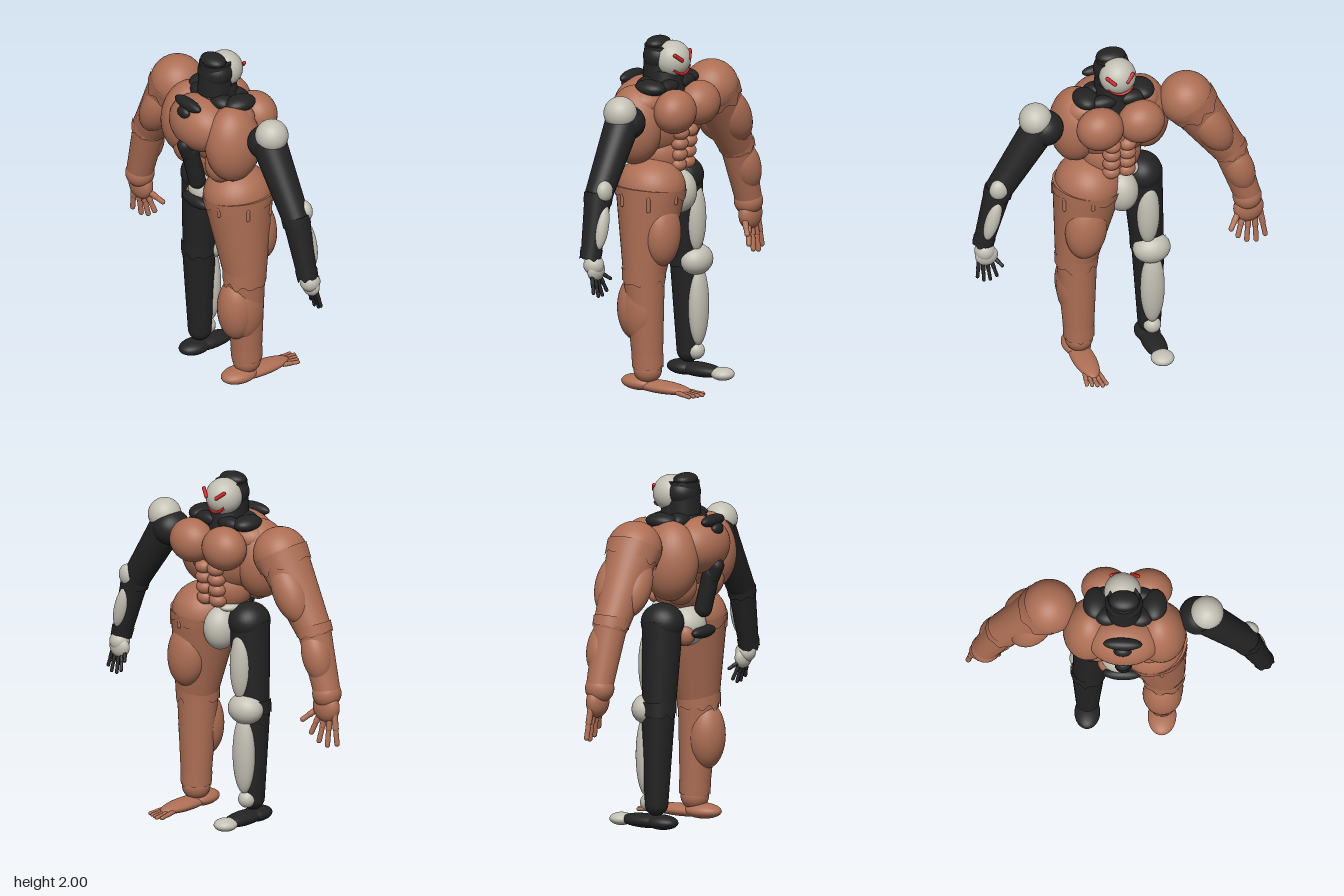
import * as THREE from 'three';

const mat = (name, color) => {
  const m = new THREE.MeshStandardMaterial({ color });
  m.name = name;
  return m;
};

export function createModel() {
  const skin = mat('clay skin', 0xae6f55), dark = mat('dark armour', 0x232323);
  const pale = mat('pale shell', 0xc3c0b4), red = mat('red marking', 0xc42020);
  const V = (p) => new THREE.Vector3(...p);
  const group = new THREE.Group();
  group.name = 'figure';

  const add = (name, geo, m) => {
    const mesh = new THREE.Mesh(geo, m);
    mesh.name = name;
    group.add(mesh);
    return mesh;
  };
  // ellipsoid: centre, radii, rotation
  const ell = (name, m, p, r, rot = [0, 0, 0]) => {
    const e = add(name, new THREE.SphereGeometry(1, 32, 22), m);
    e.position.set(...p);
    e.scale.set(...r);
    e.rotation.set(...rot);
    return e;
  };
  const ball = (name, m, p, r) => ell(name, m, p, [r, r, r]);
  const place = (mesh, a, b) => {
    mesh.position.copy(V(a)).add(V(b)).multiplyScalar(0.5);
    mesh.quaternion.setFromUnitVectors(new THREE.Vector3(0, 1, 0), V(a).sub(V(b)).normalize());
  };
  // tapered limb from upper point a to lower point b
  const limb = (name, m, a, b, ra, rb) => {
    const len = V(a).distanceTo(V(b));
    const mesh = add(name, new THREE.CylinderGeometry(ra, rb, len, 40), m);
    place(mesh, a, b);
    return mesh;
  };
  // cuff with a wavy lower hem
  const cuff = (name, m, a, b, ra, rb, waves = 9, depth = 0.02) => {
    const len = V(a).distanceTo(V(b));
    const geo = new THREE.CylinderGeometry(ra, rb, len, 72, 1, true);
    const pos = geo.attributes.position;
    for (let i = 0; i < pos.count; i++) {
      if (pos.getY(i) > 0) continue;
      const t = Math.atan2(pos.getX(i), pos.getZ(i));
      pos.setY(i, pos.getY(i) + depth * Math.sin(waves * t) * (0.6 + 0.4 * Math.cos(2 * t)));
    }
    geo.computeVertexNormals();
    place(add(name, geo, m), a, b);
  };
  const rod = (name, m, a, b, r) => {
    const mesh = add(name, new THREE.CapsuleGeometry(r, V(a).distanceTo(V(b)), 6, 14), m);
    place(mesh, a, b);
  };
  // two-jointed finger
  const finger = (m, a, b, r) => {
    const mid = V(a).lerp(V(b), 0.5).toArray();
    rod('fingerBase', m, a, mid, r);
    rod('fingerTip', m, mid, b, r * 0.85);
  };

  // head and helmet
  ball('face', pale, [0.01, 1.88, 0.012], 0.104);
  limb('helmet', dark, [0.02, 1.955, 0.085], [0.02, 1.77, 0.085], 0.09, 0.1);
  ell('helmetDome', dark, [0.02, 1.89, 0.085], [0.106, 0.09, 0.095]);
  ell('helmetCap', dark, [0.02, 1.963, 0.1], [0.085, 0.037, 0.062]);
  for (const s of [-1, 1]) {
    rod('eye', red, [0.02 + s * 0.075, 1.925, -0.062], [0.02 + s * 0.038, 1.893, -0.085], 0.011);
  }
  const smile = new THREE.CatmullRomCurve3(
    [[-0.055, 1.84, -0.06], [-0.02, 1.812, -0.068], [0.02, 1.803, -0.064], [0.055, 1.815, -0.055], [0.085, 1.84, -0.045]].map(V));
  add('mouth', new THREE.TubeGeometry(smile, 20, 0.008, 8), red);

  // neck and ruffled collar
  limb('neck', dark, [0.02, 1.82, 0.05], [0.02, 1.66, 0.05], 0.09, 0.12);
  for (const s of [-1, 1]) {
    ell('collarSide', dark, [0.025 + s * 0.165, 1.745, 0.04], [0.07, 0.045, 0.095]);
    ell('collarBack', dark, [0.02 + s * 0.085, 1.74, 0.11], [0.08, 0.045, 0.06]);
    ell('collarFront', dark, [0.02 + s * 0.08, 1.74, -0.02], [0.085, 0.04, 0.045]);
  }
  ell('collarMiddle', dark, [0.02, 1.74, 0.12], [0.08, 0.05, 0.06]);

  // torso muscles
  ell('ribcage', skin, [0.025, 1.54, 0.07], [0.25, 0.22, 0.17]);
  ell('waist', skin, [0.035, 1.35, 0.05], [0.17, 0.15, 0.14]);
  ell('upperBack', skin, [0.023, 1.6, 0.19], [0.21, 0.16, 0.155]);
  for (const s of [-1, 1]) {
    ell('latMuscle', skin, [0.025 + s * 0.2, 1.53, 0.12], [0.145, 0.225, 0.165], [0, 0, s * 0.06]);
    ell('lowerBack', skin, [0.02 + s * 0.145, 1.39, 0.15], [0.09, 0.115, 0.1]);
    ell('trapezius', skin, [0.025 + s * 0.15, 1.66, 0.08], [0.13, 0.09, 0.12]);
    ell('chestMuscle', skin, [0.03 + s * 0.12, 1.62, -0.1], [0.135, 0.125, 0.115]);
    for (let i = 0; i < 4; i++) {
      ell('abdominal', skin, [0.03 + s * 0.045, 1.48 - i * 0.062, -0.085 + i * 0.006], [0.052, 0.042, 0.05]);
    }
  }

  // spine armour
  ell('backPlate', dark, [0.02, 1.745, 0.278], [0.11, 0.035, 0.036]);
  ell('backPlateStem', dark, [0.02, 1.7, 0.305], [0.05, 0.035, 0.03]);
  rod('spineTop', dark, [0.022, 1.49, 0.3], [0.022, 1.43, 0.275], 0.045);
  rod('spineRod', dark, [0.022, 1.44, 0.265], [0.022, 1.24, 0.215], 0.05);

  // pelvis
  ell('pelvisShell', pale, [0, 1.14, 0.1], [0.12, 0.12, 0.13]);
  ell('pelvisFront', pale, [0, 1.12, -0.03], [0.095, 0.125, 0.1]);
  ell('hipStrip', pale, [-0.05, 1.25, 0.02], [0.06, 0.03, 0.09]);
  ell('pelvisBelt', dark, [0.015, 1.11, 0.22], [0.11, 0.036, 0.04]);
  ell('seatPatch', skin, [-0.07, 1.1, 0.15], [0.055, 0.065, 0.06]);

  // clay leg
  ell('clayHip', skin, [0.175, 1.17, 0.045], [0.185, 0.17, 0.2]);
  limb('clayThigh', skin, [0.175, 1.17, 0.045], [0.24, 0.7, 0.045], 0.2, 0.123);
  cuff('hipHem', skin, [0.175, 1.175, 0.045], [0.18, 1.125, 0.045], 0.203, 0.197, 7, 0.012);
  for (let i = 0; i < 7; i++) {
    const t = i * 0.9 + 0.3, r = 0.19;
    const x = 0.18 + Math.sin(t) * r, z = 0.045 + Math.cos(t) * r;
    rod('hemDrip', skin, [x, 1.15, z], [x, 1.11 - 0.015 * (i % 3), z], 0.011);
  }
  ell('thighFront', skin, [0.22, 0.93, -0.06], [0.12, 0.19, 0.1], [0.05, 0, 0.08]);
  ball('clayKnee', skin, [0.235, 0.7, 0.05], 0.115);
  limb('clayShin', skin, [0.24, 0.7, 0.05], [0.233, 0.14, 0.027], 0.118, 0.083);
  cuff('kneeHem', skin, [0.24, 0.72, 0.048], [0.24, 0.64, 0.05], 0.125, 0.122, 9, 0.022);
  ell('clayCalf', skin, [0.235, 0.48, 0.105], [0.11, 0.19, 0.105]);
  ell('calfSide', skin, [0.285, 0.48, 0.06], [0.066, 0.18, 0.1]);
  cuff('ankleHem', skin, [0.233, 0.22, 0.03], [0.233, 0.145, 0.027], 0.09, 0.087, 8, 0.012);
  ball('clayAnkle', skin, [0.233, 0.13, 0.028], 0.08);
  ell('clayHeel', skin, [0.233, 0.05, 0.08], [0.08, 0.044, 0.115]);
  ell('claySole', skin, [0.235, 0.042, -0.06], [0.068, 0.035, 0.2]);
  for (let i = 0; i < 5; i++) {
    const x = 0.185 + i * 0.027;
    finger(skin, [x * 0.7 + 0.07, 0.035, -0.2], [x, 0.028, -0.325 + Math.abs(i - 1) * 0.012], 0.0135);
  }

  // armoured leg
  ell('armourHip', dark, [-0.145, 1.17, 0.05], [0.115, 0.11, 0.125]);
  limb('armourThigh', dark, [-0.145, 1.18, 0.05], [-0.175, 0.68, 0.045], 0.116, 0.094);
  limb('armourShin', dark, [-0.18, 0.7, 0.045], [-0.185, 0.14, 0.035], 0.096, 0.066);
  cuff('armourKneeHem', dark, [-0.178, 0.73, 0.045], [-0.18, 0.65, 0.045], 0.1, 0.101, 9, 0.018);
  ball('armourAnkle', dark, [-0.185, 0.145, 0.035], 0.066);
  ell('thighPlate', pale, [-0.155, 0.93, -0.035], [0.065, 0.2, 0.055]);
  ell('kneeCap', pale, [-0.18, 0.68, -0.02], [0.108, 0.088, 0.09]);
  ell('shinPlate', pale, [-0.18, 0.42, -0.035], [0.07, 0.235, 0.055]);
  ball('anklePlate', pale, [-0.185, 0.15, -0.015], 0.05);
  ell('armourHeel', dark, [-0.185, 0.045, 0.07], [0.072, 0.042, 0.1]);
  ell('armourFoot', dark, [-0.185, 0.045, -0.04], [0.066, 0.04, 0.16]);
  ell('toeCap', pale, [-0.185, 0.042, -0.195], [0.066, 0.036, 0.068]);

  // clay arm
  ball('clayShoulder', skin, [-0.4, 1.625, 0.025], 0.155);
  limb('clayUpperArm', skin, [-0.41, 1.62, 0.025], [-0.65, 1.23, 0.025], 0.147, 0.1);
  cuff('shoulderHem', skin, [-0.4, 1.635, 0.025], [-0.445, 1.56, 0.025], 0.157, 0.148, 8, 0.02);
  ell('tricep', skin, [-0.5, 1.43, 0.085], [0.095, 0.18, 0.1], [0, 0, -0.5]);
  ell('bicep', skin, [-0.53, 1.44, -0.04], [0.1, 0.18, 0.095], [0, 0, -0.5]);
  ball('clayElbow', skin, [-0.65, 1.235, 0.025], 0.1);
  limb('clayForearm', skin, [-0.65, 1.24, 0.025], [-0.755, 0.9, 0.015], 0.095, 0.076);
  cuff('elbowHem', skin, [-0.64, 1.27, 0.025], [-0.657, 1.215, 0.025], 0.103, 0.103, 8, 0.014);
  ell('forearmMuscle', skin, [-0.7, 1.1, -0.01], [0.085, 0.15, 0.08], [0, 0, -0.3]);
  ball('clayWrist', skin, [-0.755, 0.885, 0.015], 0.082);
  ell('clayPalm', skin, [-0.76, 0.81, 0.005], [0.088, 0.09, 0.055]);
  const clayTips = [[-0.853, 0.615, -0.01], [-0.795, 0.6, -0.025], [-0.738, 0.615, -0.03], [-0.685, 0.655, -0.035], [-0.638, 0.725, -0.055]];
  clayTips.forEach((t, i) => finger(skin, [-0.825 + i * 0.032, 0.785, 0], t, 0.0175));

  // armoured arm
  ell('armourShoulder', dark, [0.43, 1.6, 0.04], [0.105, 0.1, 0.11]);
  ball('shoulderCap', pale, [0.483, 1.665, 0.045], 0.094);
  limb('armourUpperArm', dark, [0.45, 1.62, 0.045], [0.705, 1.23, 0.045], 0.1, 0.078);
  ball('armourElbow', dark, [0.7, 1.235, 0.045], 0.076);
  limb('armourForearm', dark, [0.7, 1.25, 0.045], [0.795, 0.9, 0.035], 0.078, 0.056);
  cuff('armourElbowHem', dark, [0.697, 1.25, 0.045], [0.71, 1.2, 0.045], 0.082, 0.08, 7, 0.012);
  cuff('armourWristHem', dark, [0.782, 0.95, 0.036], [0.798, 0.89, 0.035], 0.063, 0.06, 7, 0.012);
  ell('elbowPad', pale, [0.715, 1.27, -0.005], [0.055, 0.062, 0.042]);
  ell('forearmPlate', pale, [0.755, 1.075, -0.012], [0.042, 0.13, 0.04], [0, 0, 0.27]);
  ball('armourWrist', pale, [0.793, 0.86, 0.015], 0.058);
  ell('armourPalm', pale, [0.785, 0.83, 0.005], [0.066, 0.062, 0.04]);
  const armourTips = [[0.708, 0.772, -0.04], [0.738, 0.71, -0.035], [0.775, 0.69, -0.03], [0.813, 0.692, -0.03], [0.847, 0.715, -0.02]];
  armourTips.forEach((t, i) => finger(dark, [0.74 + i * 0.023, 0.805, 0], t, 0.012));

  return group;
}
